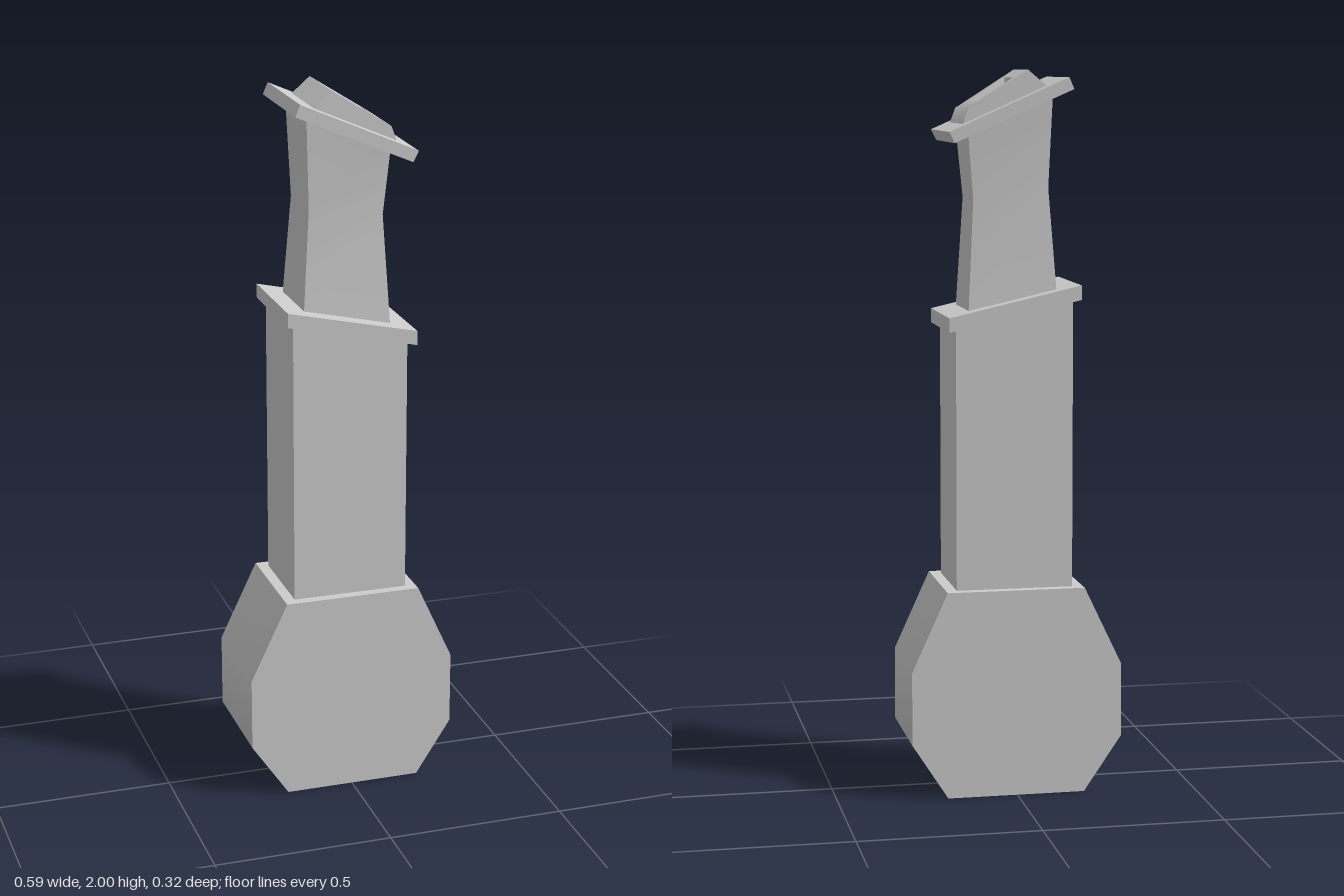
import * as THREE from 'three';
import { toCreasedNormals } from 'three/addons/utils/BufferGeometryUtils.js';

const material = new THREE.MeshStandardMaterial({ color: 0xcccccc });

function part(name, geometry) {
  const mesh = new THREE.Mesh(toCreasedNormals(geometry, 0.7), material);
  mesh.name = name;
  return mesh;
}

// Joins four-cornered sections from bottom to top and caps both ends.
// Section: [left x, left y, right x, right y, half depth]
function loft(sections) {
  const loops = sections.map(([xl, yl, xr, yr, d]) => [
    [xl, yl, d], [xr, yr, d], [xr, yr, -d], [xl, yl, -d],
  ]);
  const positions = [];
  const quad = (a, b, c, d) => positions.push(...a, ...b, ...c, ...a, ...c, ...d);
  for (let s = 0; s < loops.length - 1; s++) {
    const low = loops[s], high = loops[s + 1];
    for (let i = 0; i < 4; i++) {
      const j = (i + 1) % 4;
      quad(low[i], low[j], high[j], high[i]);
    }
  }
  const [a, b, c, d] = loops[0];
  quad(d, c, b, a);
  quad(...loops[loops.length - 1]);
  const geometry = new THREE.BufferGeometry();
  geometry.setAttribute('position', new THREE.Float32BufferAttribute(positions, 3));
  return geometry;
}

export function createModel() {
  const group = new THREE.Group();
  group.name = 'hilt';

  // Eight-sided foot
  const depth = 0.316;
  const outline = [
    [-0.19, 0], [0.195, 0], [0.295, 0.155], [0.295, 0.36],
    [0.195, 0.58], [-0.19, 0.58], [-0.295, 0.36], [-0.295, 0.155],
  ].map(([x, y]) => new THREE.Vector2(x, y));
  const foot = new THREE.ExtrudeGeometry(new THREE.Shape(outline), { depth, bevelEnabled: false });
  foot.translate(0, 0, -depth / 2);
  group.add(part('foot', foot));

  // Square shaft with a slanted top
  group.add(part('shaft', loft([
    [-0.16, 0.58, 0.165, 0.58, 0.13],
    [-0.16, 1.38, 0.165, 1.31, 0.13],
  ])));

  // Slanted collar
  group.add(part('collar', loft([
    [-0.18, 1.378, 0.187, 1.295, 0.15],
    [-0.18, 1.418, 0.187, 1.335, 0.15],
  ])));

  // Waisted neck
  group.add(part('neck', loft([
    [-0.12, 1.4, 0.125, 1.345, 0.1],
    [-0.1, 1.68, 0.108, 1.65, 0.082],
    [-0.11, 1.945, 0.125, 1.84, 0.096],
  ])));

  // Tilted cap plate
  group.add(part('capPlate', loft([
    [-0.157, 1.948, 0.17, 1.805, 0.15],
    [-0.143, 1.98, 0.185, 1.835, 0.15],
  ])));

  // Cap block: sides, flat rim, then down into the sunken socket
  group.add(part('capBlock', loft([
    [-0.095, 1.953, 0.141, 1.852, 0.1],
    [-0.04, 2.0, 0.125, 1.895, 0.1],
    [-0.005, 1.978, 0.092, 1.916, 0.058],
    [-0.005, 1.942, 0.075, 1.891, 0.041],
  ])));

  return group;
}
